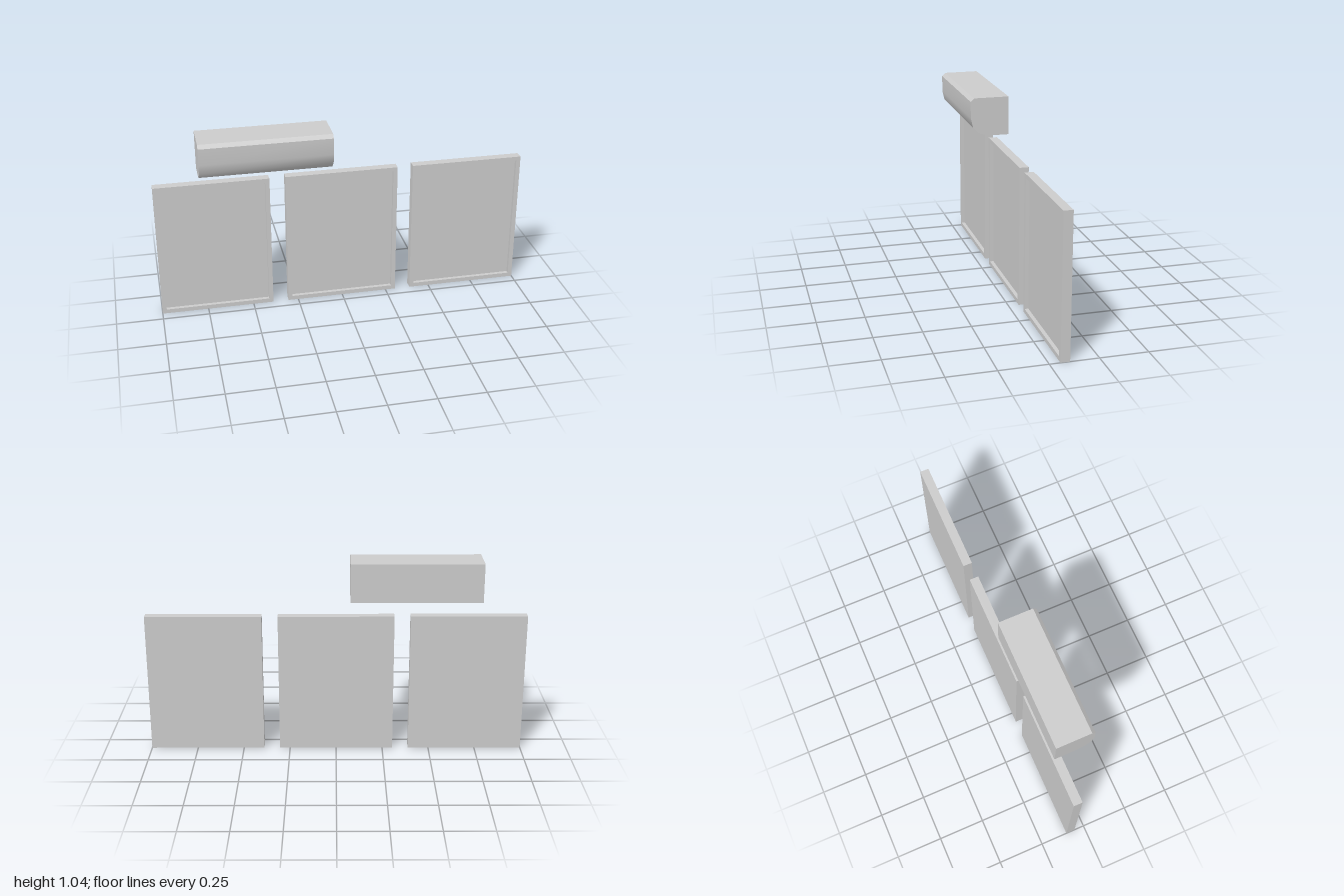
import * as THREE from 'three';
import { toCreasedNormals } from 'three/addons/utils/BufferGeometryUtils.js';

const material = new THREE.MeshStandardMaterial({ color: 0xcccccc });

// Rectangular tray: nested rings of corners run from the back, over the rim, into the recess
function trayGeometry(width, height, backZ, frontZ, border, recess) {
  const rings = [[0, backZ], [0, frontZ], [border, frontZ], [border, frontZ - recess]].map(([inset, z]) => {
    const x = width / 2 - inset;
    return [[-x, inset, z], [x, inset, z], [x, height - inset, z], [-x, height - inset, z]];
  });
  const points = [];
  const quad = (a, b, c, d) => points.push(...a, ...b, ...c, ...a, ...c, ...d);
  for (let i = 0; i < rings.length - 1; i++) {
    for (let k = 0; k < 4; k++) {
      const n = (k + 1) % 4;
      quad(rings[i][k], rings[i][n], rings[i + 1][n], rings[i + 1][k]);
    }
  }
  quad(...[...rings[0]].reverse());
  quad(...rings[rings.length - 1]);
  const geometry = new THREE.BufferGeometry();
  geometry.setAttribute('position', new THREE.Float32BufferAttribute(points, 3));
  geometry.computeVertexNormals();
  return geometry;
}

// Wall unit: side profile (z, y) extruded along x
function unitGeometry(minX, maxX) {
  const profile = [
    [-0.103, 0.829], [0, 0.829], [0.055, 0.842], [0.092, 0.878],
    [0.104, 0.93], [0.104, 1.018], [0.085, 1.036], [-0.103, 1.036],
  ];
  const shape = new THREE.Shape(profile.map(([z, y]) => new THREE.Vector2(z, y)));
  const geometry = new THREE.ExtrudeGeometry(shape, { depth: maxX - minX, bevelEnabled: false });
  geometry.rotateY(-Math.PI / 2);
  geometry.translate(maxX, 0, 0);
  return toCreasedNormals(geometry, 0.65);
}

export function createModel() {
  const group = new THREE.Group();
  group.name = 'wallUnitWithPanels';

  // Three framed panels in a row
  const panel = trayGeometry(0.61, 0.753, -0.103, -0.055, 0.023, 0.02);
  ['rightPanel', 'middlePanel', 'leftPanel'].forEach((name, i) => {
    const mesh = new THREE.Mesh(panel, material);
    mesh.name = name;
    mesh.position.x = (i - 1) * 0.695;
    group.add(mesh);
  });

  // Rounded unit above the panels
  const unit = new THREE.Mesh(unitGeometry(-0.765, -0.075), material);
  unit.name = 'wallUnit';
  group.add(unit);

  return group;
}
